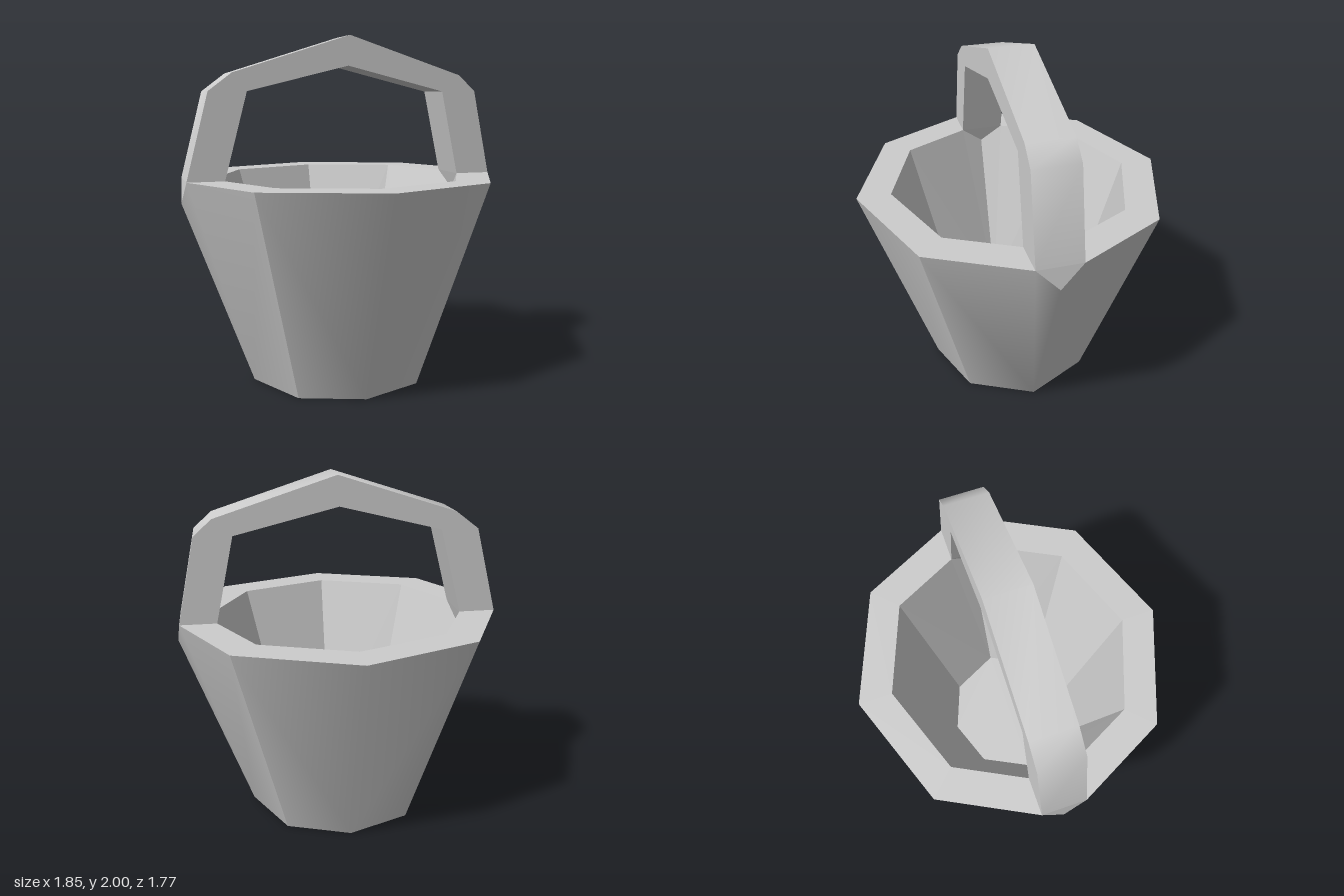
import * as THREE from 'three';
import { toCreasedNormals } from 'three/addons/utils/BufferGeometryUtils.js';

const RIM = 1.2, FLOOR = 0.14, HALF = 0.127; // rim height, inner floor height, half handle width
const metal = new THREE.MeshStandardMaterial({ color: 0xcccccc });
metal.name = 'grey';

// Fan of triangles around the first point; reversed faces the other way
function fan(points, reversed = false, flat = false) {
  const pts = reversed ? [points[0], ...points.slice(1).reverse()] : points;
  const index = [];
  for (let i = 1; i < pts.length - 1; i++) index.push(0, i, i + 1);
  let geo = new THREE.BufferGeometry();
  geo.setAttribute('position', new THREE.Float32BufferAttribute(pts.flat(), 3));
  geo.setIndex(index);
  if (flat) geo = geo.toNonIndexed();
  geo.computeVertexNormals();
  return geo;
}

// Octagon radii: rx and rz at the axis corners, d at the diagonal corners
const outer = {
  low: { rx: 0.53, rz: 0.485, d: 0.355 }, high: { rz: 0.885, d: 0.643 }, y: 0,
  notch: 0.908, apex: [0.925, 1.07, 0],
};
const inner = {
  low: { rx: 0.416, rz: 0.38, d: 0.277 }, high: { rz: 0.693, d: 0.505 }, y: FLOOR,
  notch: 0.699, apex: [0.727, 1.1, 0],
};

// Two-facet panel towards +z
const frontPanel = ({ low, high, y }) => [
  [0, y, low.rz], [low.d, y, low.d], [high.d, RIM, high.d],
  [0, RIM, high.rz], [-high.d, RIM, high.d], [-low.d, y, low.d],
];

// Two-facet panel towards +x, notched where the handle joins
const sidePanel = ({ low, high, y, notch, apex }) => [
  [low.rx, y, 0], [low.d, y, -low.d], [high.d, RIM, -high.d], [notch, RIM, -HALF],
  apex, [notch, RIM, HALF], [high.d, RIM, high.d], [low.d, y, low.d],
];

const handleFoot = ({ notch, apex }) => [[notch, RIM, HALF], apex, [notch, RIM, -HALF]];

const octagon = ({ low: { rx, rz, d }, y }) => [
  [rx, y, 0], [d, y, -d], [0, y, -rz], [-d, y, -d],
  [-rx, y, 0], [-d, y, d], [0, y, rz], [d, y, d],
];

// Rim outline, with the side corners cut off by the handle
const rimOutline = ({ high: { rz, d }, notch }) => [
  [notch, -HALF], [notch, HALF], [d, d], [0, rz], [-d, d],
  [-notch, HALF], [-notch, -HALF], [-d, -d], [0, -rz], [d, -d],
].map(([x, y]) => new THREE.Vector2(x, y));

export function createModel() {
  const model = new THREE.Group();
  model.name = 'bucket';
  const add = (name, geo, parent = model) => {
    const mesh = new THREE.Mesh(geo, metal);
    mesh.name = name;
    parent.add(mesh);
    return mesh;
  };

  // Walls: one half built, then turned round for the other
  for (const turn of [0, Math.PI]) {
    const half = new THREE.Group();
    half.name = turn ? 'backRightHalf' : 'frontLeftHalf';
    half.rotation.y = turn;
    add('outerWall', fan(frontPanel(outer)), half);
    add('outerSideWall', fan(sidePanel(outer)), half);
    add('innerWall', fan(frontPanel(inner), true, true), half);
    add('innerSideWall', fan(sidePanel(inner), true, true), half);
    add('outerHandleFoot', fan(handleFoot(outer)), half);
    add('innerHandleFoot', fan(handleFoot(inner), true), half);
    model.add(half);
  }

  // Floor and base
  add('floor', fan(octagon(inner)));
  add('base', fan(octagon(outer), true));

  // Flat rim
  const rimShape = new THREE.Shape(rimOutline(outer));
  rimShape.holes.push(new THREE.Path(rimOutline(inner)));
  const rim = add('rim', new THREE.ShapeGeometry(rimShape));
  rim.rotation.x = -Math.PI / 2;
  rim.position.y = RIM;

  // Angular handle, slightly uneven
  const profile = [
    [0.908, RIM], [0.803, 1.69], [0.7, 1.782], [0.02, 2], [-0.65, 1.787], [-0.782, 1.687], [-0.908, RIM],
    [-0.699, RIM], [-0.57, 1.687], [0.01, 1.83], [0.593, 1.687], [0.699, RIM],
  ].map(([x, y]) => new THREE.Vector2(x, y));
  const handle = new THREE.ExtrudeGeometry(new THREE.Shape(profile), { depth: HALF * 2, bevelEnabled: false });
  handle.translate(0, 0, -HALF);
  add('handle', toCreasedNormals(handle, 0.75));

  return model;
}
